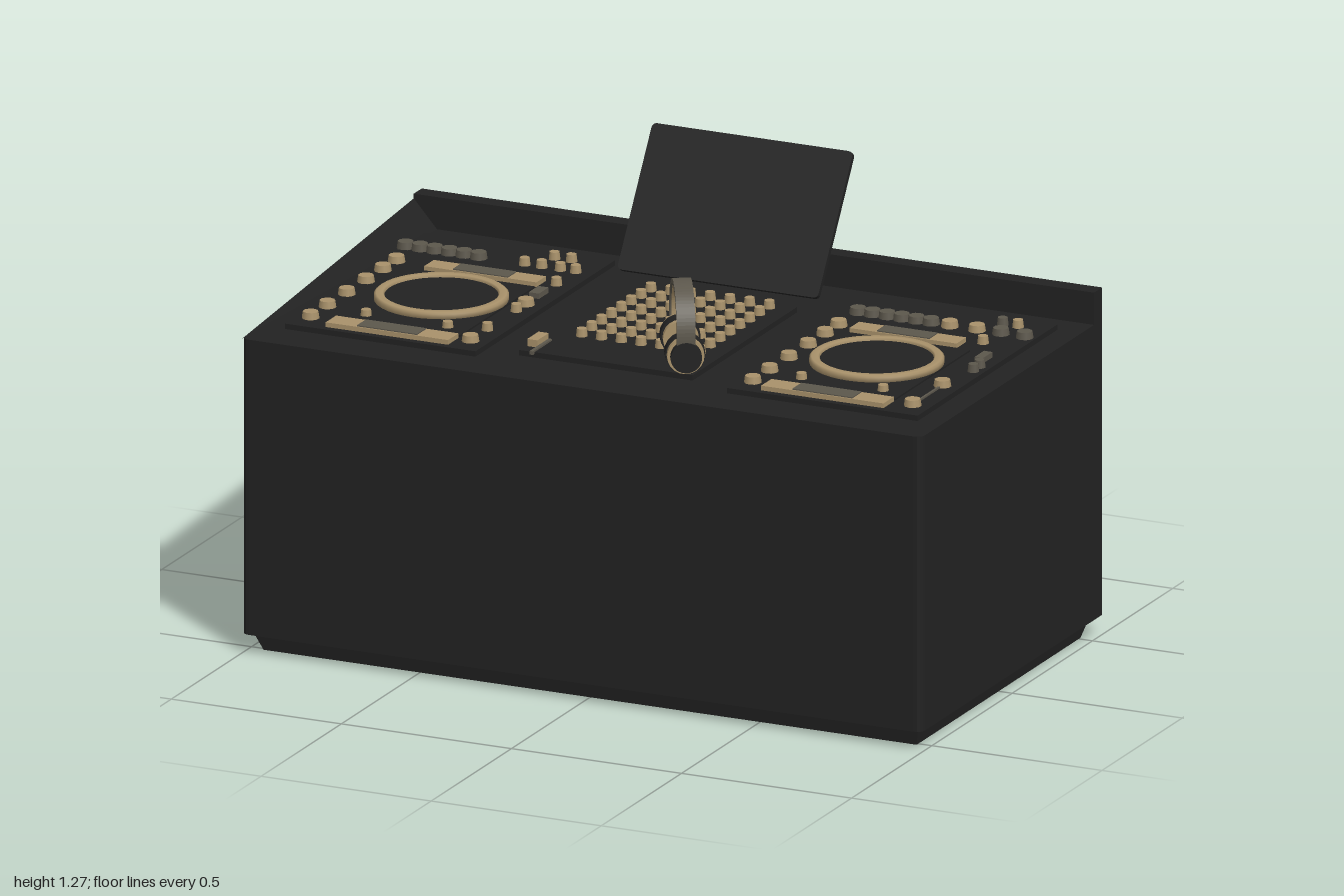
import * as THREE from 'three';
import { ConvexGeometry } from 'three/addons/geometries/ConvexGeometry.js';

const mat = (name, color) => {
  const m = new THREE.MeshStandardMaterial({ color });
  m.name = name;
  return m;
};

export function createModel() {
  const root = new THREE.Group();
  root.name = 'djBooth';
  const black = mat('boothBlack', 0x222222);
  const tan = mat('brass', 0xa8916a);
  const grey = mat('dullGrey', 0x5c574c);

  const add = (name, geo, material, x = 0, y = 0, z = 0, parent = root) => {
    const m = new THREE.Mesh(geo, material);
    m.name = name;
    m.position.set(x, y, z);
    parent.add(m);
    return m;
  };
  // Box given by its limits
  const box = (name, material, x0, x1, y0, y1, z0, z1, parent = root) =>
    add(name, new THREE.BoxGeometry(x1 - x0, y1 - y0, z1 - z0), material,
      (x0 + x1) / 2, (y0 + y1) / 2, (z0 + z1) / 2, parent);
  const hull = (name, pts, material) =>
    add(name, new ConvexGeometry(pts.map(p => new THREE.Vector3(...p))), material);

  // Cabinet with softened front corners
  const r = 0.025;
  const plan = new THREE.Shape();
  plan.moveTo(-1, 0.56);
  plan.lineTo(-1, -0.565 + r);
  plan.quadraticCurveTo(-1, -0.565, -1 + r, -0.565);
  plan.lineTo(1 - r, -0.565);
  plan.quadraticCurveTo(1, -0.565, 1, -0.565 + r);
  plan.lineTo(1, 0.56);
  const cabinet = new THREE.ExtrudeGeometry(plan, { depth: 0.825, bevelEnabled: false, curveSegments: 4 });
  cabinet.rotateX(-Math.PI / 2);
  add('cabinet', cabinet, black, 0, 0.055, 0);

  // Tapered plinth
  hull('plinth', [
    [-0.96, 0, -0.51], [0.96, 0, -0.51], [-0.96, 0, 0.51], [0.96, 0, 0.51],
    [-0.99, 0.056, -0.555], [0.97, 0.056, -0.555], [-0.99, 0.056, 0.52], [0.97, 0.056, 0.52],
  ], black);

  // Raised rear wall and sloping side cheek
  box('rearWall', black, -1, 1, 0.88, 0.97, -0.56, -0.51);
  hull('sideCheek', [[-1, 0.878, 0.56], [-1, 0.957, -0.512], [-1, 0.878, -0.512], [-0.93, 0.878, -0.512]], black);

  // Equipment bodies
  box('leftPlayerBody', black, 0.37, 0.93, 0.88, 0.895, -0.43, 0.44);
  box('rightPlayerBody', black, -0.93, -0.37, 0.88, 0.895, -0.43, 0.44);
  box('mixerBody', black, -0.27, 0.24, 0.88, 0.895, -0.27, 0.38);

  // Knobs shared by players and mixer
  const knobGeo = new THREE.CylinderGeometry(0.021, 0.024, 0.02, 10);
  const smallKnobGeo = new THREE.CylinderGeometry(0.014, 0.017, 0.025, 8);
  const knob = (x, z, parent, geo = knobGeo, material = tan) =>
    add('knob', geo, material, x, 0.904, z, parent);

  // Platter ring profile
  const ringGeo = new THREE.LatheGeometry(
    [[0.152, 0], [0.18, 0], [0.18, 0.016], [0.174, 0.021], [0.156, 0.021], [0.152, 0.016], [0.152, 0]]
      .map(p => new THREE.Vector2(...p)), 40);
  const discGeo = new THREE.CylinderGeometry(0.152, 0.152, 0.014, 40);

  function player(name, cx, stripTopX, stripLowX) {
    const g = new THREE.Group();
    g.name = name;
    root.add(g);
    box('platterBase', black, cx - 0.18, cx + 0.18, 0.89, 0.9, -0.12, 0.345, g);
    add('platterRing', ringGeo, tan, cx, 0.897, 0.08, g);
    add('platterDisc', discGeo, black, cx, 0.903, 0.08, g);
    // Button strips with a grey middle
    for (const [[x0, x1], z0, z1] of [[stripTopX, -0.19, -0.13], [stripLowX, 0.355, 0.42]]) {
      const w = x1 - x0;
      box('buttonStrip', tan, x0, x1, 0.89, 0.908, z0, z1, g);
      box('stripDisplay', grey, x0 + w * 0.25, x1 - w * 0.26, 0.905, 0.911, z0 + 0.004, z1 - 0.004, g);
    }
    for (const dx of [-0.12, 0.12]) knob(cx + dx, 0.295, g, smallKnobGeo);
    return g;
  }

  const right = player('rightPlayer', -0.64, [-0.79, -0.46], [-0.82, -0.46]);
  const left = player('leftPlayer', 0.64, [0.46, 0.775], [0.46, 0.82]);

  // Knob columns beside the platters
  for (const z of [-0.17, -0.085, 0.02, 0.14, 0.26, 0.365]) {
    knob(-0.89, z, right);
    knob(0.41, z, left);
  }
  for (const z of [0.02, 0.365]) knob(-0.42, z, right);
  for (const z of [-0.17, 0.08, 0.26]) knob(-0.42, z, right, smallKnobGeo);
  for (const z of [0.18, 0.365]) knob(0.88, z, left);
  box('pitchSlot', grey, 0.877, 0.883, 0.89, 0.9, 0.18, 0.36, left);
  box('pitchFader', grey, 0.87, 0.895, 0.89, 0.91, -0.1, -0.04, left);
  box('pitchFader', grey, -0.44, -0.41, 0.89, 0.91, -0.1, -0.04, right);
  for (const z of [-0.01, 0.03]) knob(0.9, z, left, smallKnobGeo, grey);

  // Rear rows of switches
  for (const [x0, g] of [[-0.92, right], [0.41, left]])
    for (let i = 0; i < 6; i++) knob(x0 + i * 0.043, -0.29, g, knobGeo, grey);
  for (const x of [-0.57, -0.52, -0.465, -0.42]) knob(x, -0.29, right, smallKnobGeo);
  for (const x of [-0.52, -0.47]) knob(x, -0.37, right, smallKnobGeo);
  for (const x of [0.68, 0.76, 0.83, 0.9]) knob(x, -0.29, left, knobGeo, x > 0.8 ? grey : tan);
  knob(0.845, -0.365, left, smallKnobGeo);
  knob(0.8, -0.365, left, smallKnobGeo, grey);
  knob(0.82, -0.2, left, smallKnobGeo);

  // Mixer knob grid
  const mixer = new THREE.Group();
  mixer.name = 'mixerControls';
  root.add(mixer);
  for (let i = 0; i < 7; i++)
    for (let j = 0; j < 8; j++) knob(-0.172 + i * 0.058, -0.233 + j * 0.0615, mixer, smallKnobGeo);
  box('crossFader', tan, -0.265, -0.235, 0.89, 0.915, 0.27, 0.34, mixer);
  box('faderSlot', grey, -0.235, -0.225, 0.89, 0.9, 0.27, 0.39, mixer);

  // Tilted screen
  const screen = new THREE.Group();
  screen.name = 'screen';
  screen.position.set(-0.003, 1.09, -0.405);
  screen.rotation.x = -Math.atan2(0.22, 0.34);
  root.add(screen);
  const sw = 0.295, sh = 0.205, c = 0.015;
  const outline = new THREE.Shape();
  outline.moveTo(-sw + c, -sh);
  outline.lineTo(sw - c, -sh);
  outline.quadraticCurveTo(sw, -sh, sw, -sh + c);
  outline.lineTo(sw, sh - c);
  outline.quadraticCurveTo(sw, sh, sw - c, sh);
  outline.lineTo(-sw + c, sh);
  outline.quadraticCurveTo(-sw, sh, -sw, sh - c);
  outline.lineTo(-sw, -sh + c);
  outline.quadraticCurveTo(-sw, -sh, -sw + c, -sh);
  add('screenPanel', new THREE.ExtrudeGeometry(outline, { depth: 0.014, bevelEnabled: false, curveSegments: 4 }),
    black, 0, 0, -0.007, screen);
  box('screenBackPlate', black, -0.16, 0.16, -0.1, 0.12, -0.012, -0.006, screen);

  // Hooked bracket clipped over the rear wall, profile in (-z, y)
  const hook = new THREE.Shape();
  hook.moveTo(0.455, 0.88);
  hook.lineTo(0.455, 0.96);
  hook.lineTo(0.447, 1.03);
  hook.quadraticCurveTo(0.455, 1.07, 0.495, 1.072);
  hook.quadraticCurveTo(0.54, 1.068, 0.545, 1.03);
  hook.lineTo(0.568, 0.985);
  hook.lineTo(0.56, 0.975);
  hook.lineTo(0.515, 0.985);
  hook.lineTo(0.512, 0.88);
  const hookGeo = new THREE.ExtrudeGeometry(hook, { depth: 0.2, bevelEnabled: false, curveSegments: 6 });
  hookGeo.rotateY(Math.PI / 2);
  add('screenBracket', hookGeo, [grey, black], -0.09, 0, 0);

  // Headphones standing on the mixer, built along local x
  const phones = new THREE.Group();
  phones.name = 'headphones';
  phones.position.set(0.165, 0.89, 0.285);
  phones.rotation.y = -Math.atan2(0.86, 0.5);
  root.add(phones);
  const arch = (outer, inner, depth) => {
    const s = new THREE.Shape();
    s.absarc(0, 0, outer, -0.35, Math.PI + 0.35, false);
    s.absarc(0, 0, inner, Math.PI + 0.35, -0.35, true);
    return new THREE.ExtrudeGeometry(s, { depth, bevelEnabled: false, curveSegments: 24 });
  };
  add('headband', arch(0.125, 0.112, 0.05), grey, 0, 0.108, -0.025, phones);
  add('headbandPad', arch(0.112, 0.104, 0.04), tan, 0, 0.108, -0.02, phones);
  for (const s of [-1, 1]) {
    const disc = (name, rad, w, x, material) => {
      const m = add(name, new THREE.CylinderGeometry(rad, rad, w, 20), material, s * x, 0.055, 0, phones);
      m.rotation.z = Math.PI / 2;
    };
    disc('earCap', 0.042, 0.02, 0.118, black);
    disc('earRim', 0.05, 0.018, 0.1, tan);
    disc('earCup', 0.054, 0.03, 0.076, black);
    disc('earCushion', 0.048, 0.022, 0.052, tan);
    box('yoke', tan, s * 0.115 - 0.006, s * 0.115 + 0.006, 0.05, 0.09, -0.012, 0.012, phones);
  }
  return root;
}
